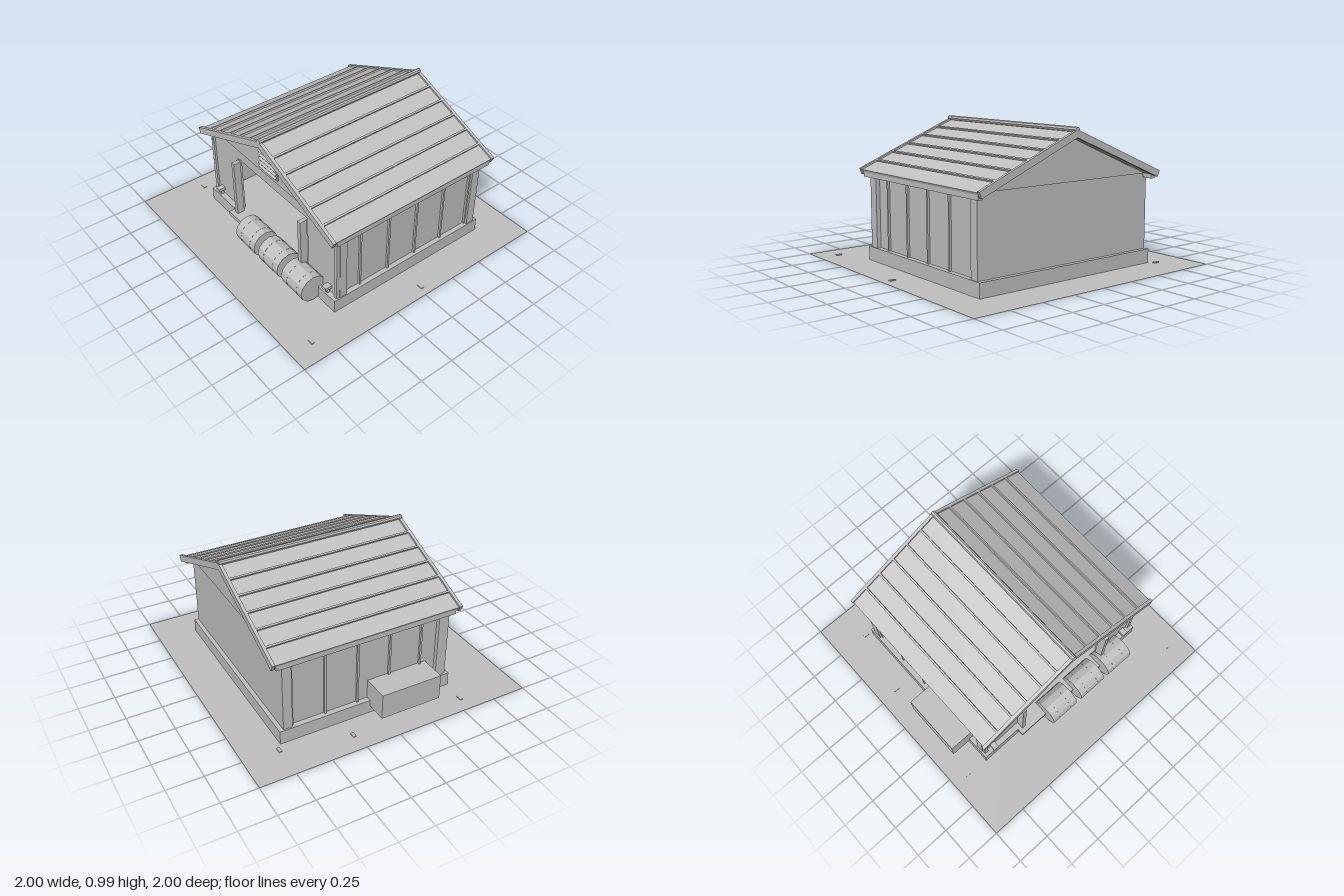
import * as THREE from 'three';

export function createModel() {
  const root = new THREE.Group();
  root.name = 'shed';
  const grey = new THREE.MeshStandardMaterial({ color: 0xc0c0c0, flatShading: true, side: THREE.DoubleSide });
  grey.name = 'plain grey';
  const CX = 0.02; // ridge line of the building

  const add = (name, geo, parent = root) => {
    const m = new THREE.Mesh(geo, grey);
    m.name = name;
    parent.add(m);
    return m;
  };
  // Box from its limits on each axis
  const box = (name, x0, x1, y0, y1, z0, z1, parent = root) => {
    const m = add(name, new THREE.BoxGeometry(x1 - x0, y1 - y0, z1 - z0), parent);
    m.position.set((x0 + x1) / 2, (y0 + y1) / 2, (z0 + z1) / 2);
    return m;
  };
  // Plate from an outline in x and y, between two depths
  const plate = (name, pts, z0, z1) => {
    const shape = new THREE.Shape(pts.map(([x, y]) => new THREE.Vector2(x, y)));
    const m = add(name, new THREE.ExtrudeGeometry(shape, { depth: z1 - z0, bevelEnabled: false }));
    m.position.z = z0;
    return m;
  };

  // Ground sheet with small scattered stones
  add('ground', new THREE.PlaneGeometry(2, 2).rotateX(-Math.PI / 2));
  [[-0.86, -0.27], [-0.88, 0.555], [0.925, -0.025], [0.85, 0.835], [-0.76, -0.75]].forEach(([x, z]) =>
    box('groundStone', x - 0.021, x + 0.021, 0, 0.006, z - 0.011, z + 0.011));

  // Foundation slab and door sill
  box('foundation', -0.715, 0.75, 0.002, 0.1, -0.72, 0.57);
  box('doorSill', -0.41, 0.45, 0.07, 0.101, 0.53, 0.62);

  // Back wall, and front wall with a door opening
  const L = -0.675, R = 0.715;
  plate('backWall', [[L, 0.1], [R, 0.1], [R, 0.64], [CX, 0.93], [L, 0.64]], -0.69, -0.66);
  plate('frontWall', [
    [L, 0.1], [-0.38, 0.1], [-0.38, 0.56], [0.42, 0.56], [0.42, 0.1],
    [R, 0.1], [R, 0.64], [CX, 0.93], [L, 0.64],
  ], 0.5, 0.53);
  plate('frontGable', [[-0.6, 0.64], [0.64, 0.64], [CX, 0.91]], 0.53, 0.536);
  plate('backGable', [[L, 0.63], [R, 0.63], [CX, 0.92]], -0.697, -0.69);

  // Door posts
  box('doorPost', -0.38, -0.35, 0.1, 0.545, 0.53, 0.585);
  box('doorPost', 0.385, 0.415, 0.1, 0.545, 0.53, 0.585);

  // Louvred gable vent
  box('ventPanel', -0.08, 0.12, 0.68, 0.85, 0.53, 0.545);
  for (let i = 0; i < 5; i++) {
    const s = box('ventSlat', -0.075, 0.115, 0.694 + i * 0.032, 0.702 + i * 0.032, 0.535, 0.56);
    s.rotation.x = 0.5;
  }

  // Side walls, seams, corner posts and roof halves, mirrored about the ridge
  const dx = 0.765, dy = 0.315;
  const len = Math.hypot(dx, dy), slope = Math.atan2(dy, dx);
  for (const side of [-1, 1]) {
    const half = new THREE.Group();
    half.name = side > 0 ? 'leftHalf' : 'rightHalf';
    half.position.x = CX;
    root.add(half);
    const sb = (name, a, b, ...rest) =>
      box(name, Math.min(side * a, side * b), Math.max(side * a, side * b), ...rest, half);

    sb('sideWall', 0.665, 0.695, 0.1, 0.64, -0.69, 0.53);
    for (let i = 0; i < 5; i++) {
      const z = -0.62 + i * 0.24;
      sb('wallSeam', 0.695, 0.71, 0.1, 0.61, z - 0.007, z + 0.007);
    }
    sb('cornerPost', 0.69, 0.724, 0.1, 0.6, 0.465, 0.52);
    sb('cornerPost', 0.69, 0.724, 0.1, 0.6, -0.69, -0.625);
    sb('cornerTrim', 0.69, 0.72, 0.1, 0.6, 0.52, 0.545);
    sb('eaveBracket', 0.7, 0.71, 0.555, 0.61, 0.53, 0.548);
    sb('eaveFascia', 0.72, 0.755, 0.595, 0.64, -0.74, 0.57);

    // Roof half: its local x runs down the slope
    const roof = new THREE.Group();
    roof.name = 'roofHalf';
    roof.position.y = 0.955;
    roof.rotation.z = -side * slope;
    half.add(roof);
    const rb = (name, a, b, y0, y1, z0, z1) =>
      box(name, Math.min(side * a, side * b), Math.max(side * a, side * b), y0, y1, z0, z1, roof);
    rb('roofSheet', 0, len - 0.005, -0.03, 0, -0.75, 0.59);
    rb('frontVerge', 0, len, -0.035, 0.012, 0.587, 0.61);
    rb('backVerge', 0, len, -0.035, 0.012, -0.772, -0.75);
    for (let i = 1; i <= 5; i++) {
      const d = (0.127 * i) / Math.cos(slope);
      rb('roofBatten', d - 0.007, d + 0.007, 0, 0.012, -0.75, 0.587);
    }
  }

  // Ridge roll
  const ridge = add('ridgeRoll', new THREE.CylinderGeometry(0.018, 0.018, 1.38, 8).rotateX(Math.PI / 2));
  ridge.position.set(CX, 0.967, -0.08);

  // Side storage box and small blocks by the door
  box('storageBox', -0.865, -0.67, 0.055, 0.24, -0.06, 0.39);
  for (const x of [-0.62, 0.65]) {
    box('wallBlock', x - 0.021, x + 0.021, 0.135, 0.157, 0.53, 0.58);
    box('blockStem', x - 0.01, x + 0.01, 0.1, 0.135, 0.535, 0.56);
  }

  // Three drums lying in front of the doorway
  for (const x of [-0.0725, 0.1975, 0.4675]) {
    const drum = new THREE.Group();
    drum.name = 'drum';
    drum.position.set(x, 0.106, 0.61);
    root.add(drum);
    add('drumBody', new THREE.CylinderGeometry(0.1, 0.1, 0.222, 12).rotateZ(Math.PI / 2), drum);
    for (const o of [-0.053, 0.053]) {
      const hoop = add('drumHoop', new THREE.CylinderGeometry(0.1, 0.1, 0.008, 16).rotateZ(Math.PI / 2), drum);
      hoop.position.x = o;
    }
  }
  return root;
}
